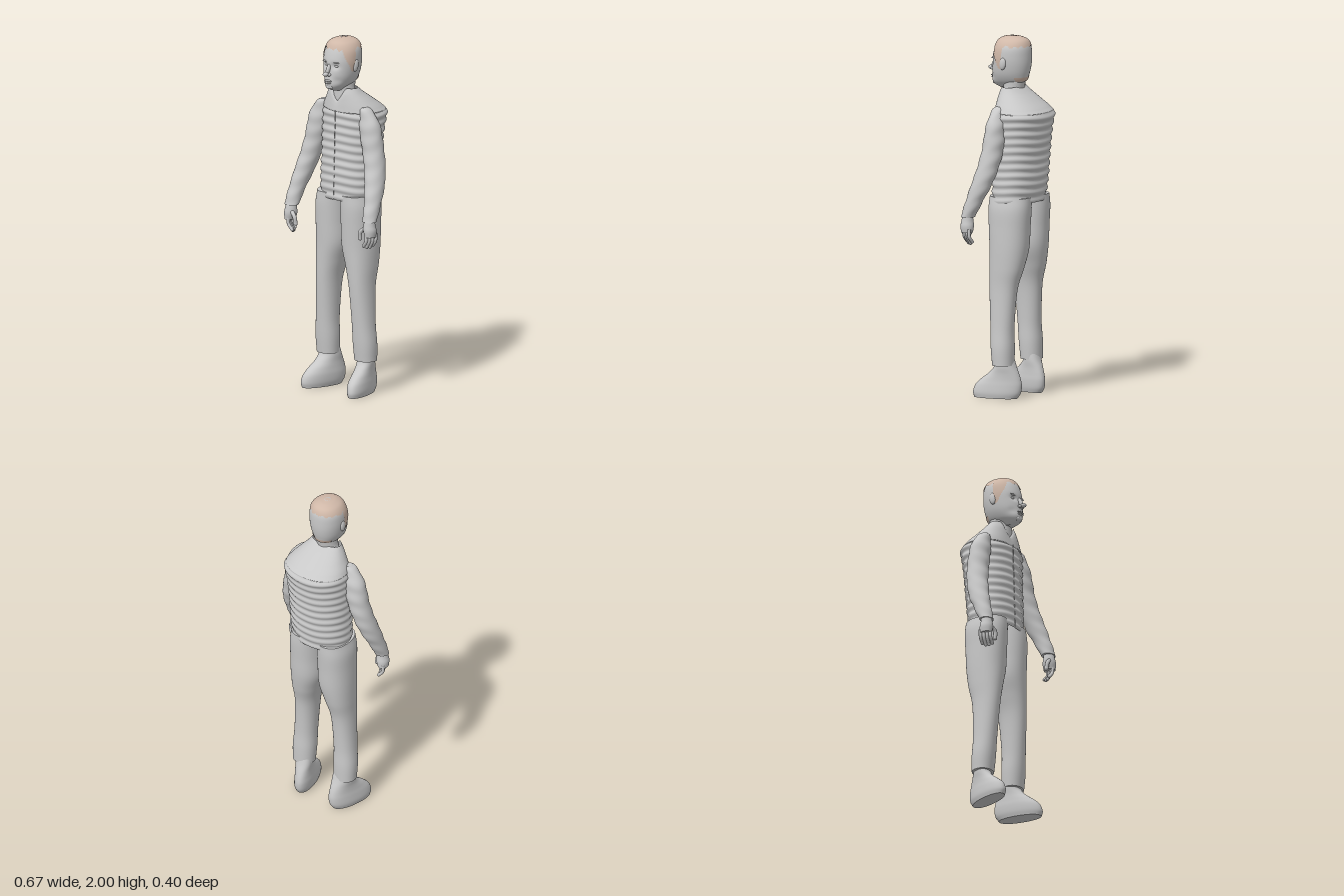
import * as THREE from 'three';

const grey = new THREE.MeshStandardMaterial({ name: 'plainGrey', color: 0xc8c8c8, side: THREE.DoubleSide });
const tan = new THREE.MeshStandardMaterial({ name: 'hairTan', color: 0xd0b8a8, side: THREE.DoubleSide });

// Smooth skin through level sections [y, xMin, xMax, zBack, zFront], listed from top to bottom
function loft(sections, { rows = 40, segs = 40, p = 2, cap = true, bend, keep } = {}) {
  const curve = (a, b) => new THREE.CatmullRomCurve3(
    sections.map(s => new THREE.Vector3(s[a], s[b], s[0])), false, 'catmullrom', 0.5);
  const cx = curve(1, 2), cz = curve(3, 4);
  const pos = [], index = [];
  const power = v => Math.sign(v) * Math.abs(v) ** (2 / p);
  for (let i = 0; i <= rows; i++) {
    const X = cx.getPoint(i / rows), Z = cz.getPoint(i / rows);
    for (let j = 0; j < segs; j++) {
      const a = j / segs * Math.PI * 2;
      const v = new THREE.Vector3(
        (X.x + X.y) / 2 + (X.y - X.x) / 2 * power(Math.cos(a)), X.z,
        (Z.x + Z.y) / 2 + (Z.y - Z.x) / 2 * power(Math.sin(a)));
      if (bend) bend(v, a);
      pos.push(v.x, v.y, v.z);
    }
  }
  const at = k => new THREE.Vector3().fromArray(pos, k * 3);
  for (let i = 0; i < rows; i++) for (let j = 0; j < segs; j++) {
    const k = (j + 1) % segs;
    const a = i * segs + j, b = i * segs + k, c = a + segs, d = b + segs;
    if (keep && !keep(at(a).add(at(d)).multiplyScalar(0.5))) continue;
    index.push(a, b, c, b, d, c);
  }
  // Flat end caps with their own vertices, so the rims stay sharp
  if (cap) for (const row of [0, rows]) {
    const start = pos.length / 3, mid = new THREE.Vector3();
    for (let j = 0; j < segs; j++) {
      const v = at(row * segs + j);
      mid.addScaledVector(v, 1 / segs);
      pos.push(v.x, v.y, v.z);
    }
    pos.push(mid.x, mid.y, mid.z);
    for (let j = 0; j < segs; j++) {
      const a = start + j, b = start + (j + 1) % segs;
      if (row) index.push(start + segs, a, b); else index.push(start + segs, b, a);
    }
  }
  const g = new THREE.BufferGeometry();
  g.setAttribute('position', new THREE.Float32BufferAttribute(pos, 3));
  g.setIndex(index);
  g.computeVertexNormals();
  return g;
}

// Sections for one side of the body: s = 1 left, s = -1 right
const side = (sections, s) => sections.map(([y, a, b, c, d]) => s > 0 ? [y, a, b, c, d] : [y, -b, -a, c, d]);

const HEAD = [
  [2.0, -0.012, 0.012, 0.015, 0.045], [1.993, -0.042, 0.042, -0.02, 0.085], [1.975, -0.074, 0.074, -0.05, 0.115],
  [1.94, -0.095, 0.095, -0.066, 0.134], [1.89, -0.1, 0.1, -0.07, 0.148], [1.84, -0.096, 0.096, -0.068, 0.153],
  [1.79, -0.085, 0.085, -0.058, 0.158], [1.75, -0.065, 0.065, -0.04, 0.162], [1.727, -0.042, 0.042, 0.01, 0.15],
  [1.71, -0.025, 0.025, 0.04, 0.115]];
const NECK = [
  [1.83, -0.058, 0.058, -0.045, 0.085], [1.76, -0.06, 0.06, -0.038, 0.09],
  [1.71, -0.062, 0.062, -0.03, 0.085], [1.67, -0.08, 0.08, -0.035, 0.085], [1.62, -0.1, 0.1, -0.06, 0.085]];
const VEST = [
  [1.722, -0.088, 0.092, -0.02, 0.078], [1.69, -0.108, 0.115, -0.06, 0.09], [1.65, -0.135, 0.15, -0.115, 0.096],
  [1.61, -0.163, 0.183, -0.168, 0.1], [1.575, -0.175, 0.2, -0.197, 0.103], [1.5, -0.173, 0.193, -0.183, 0.106],
  [1.4, -0.172, 0.187, -0.17, 0.11], [1.3, -0.172, 0.185, -0.16, 0.114], [1.2, -0.172, 0.184, -0.15, 0.118],
  [1.09, -0.17, 0.182, -0.133, 0.118]];
const SLEEVE = [
  [1.625, 0.14, 0.168, 0.005, 0.045], [1.605, 0.125, 0.2, -0.008, 0.06], [1.54, 0.12, 0.248, -0.025, 0.072],
  [1.47, 0.133, 0.266, -0.032, 0.08], [1.4, 0.152, 0.278, -0.032, 0.084], [1.3, 0.182, 0.3, -0.02, 0.1],
  [1.2, 0.213, 0.319, 0.01, 0.127], [1.1, 0.24, 0.329, 0.06, 0.155], [1.02, 0.25, 0.334, 0.1, 0.178]];
const PALM = [
  [1.04, 0.268, 0.322, 0.112, 0.166], [1.0, 0.262, 0.328, 0.108, 0.174],
  [0.97, 0.262, 0.334, 0.103, 0.178], [0.935, 0.275, 0.33, 0.105, 0.174]];
const TROUSER = [
  [1.12, -0.004, 0.176, -0.13, 0.115], [1.05, -0.004, 0.19, -0.13, 0.117], [0.95, -0.003, 0.192, -0.123, 0.113],
  [0.83, 0.0, 0.193, -0.115, 0.107], [0.72, 0.032, 0.191, -0.095, 0.102], [0.6, 0.06, 0.188, -0.064, 0.096],
  [0.4, 0.073, 0.197, -0.05, 0.082], [0.28, 0.073, 0.207, -0.053, 0.074], [0.185, 0.078, 0.205, -0.052, 0.064]];
const SHOE = [
  [0.23, 0.085, 0.185, -0.042, 0.05], [0.18, 0.083, 0.188, -0.058, 0.052], [0.14, 0.085, 0.185, -0.075, 0.085],
  [0.105, 0.083, 0.186, -0.087, 0.13], [0.07, 0.08, 0.19, -0.093, 0.164], [0.03, 0.082, 0.192, -0.088, 0.177],
  [0, 0.09, 0.186, -0.07, 0.17]];

export function createModel() {
  const model = new THREE.Group();
  model.name = 'standingMan';
  const add = (name, geometry, parent = model, material = grey) => {
    const m = new THREE.Mesh(geometry, material);
    m.name = name;
    parent.add(m);
    return m;
  };
  const blob = (name, parent, [x, y, z], [rx, ry, rz], tilt = 0) => {
    const m = add(name, new THREE.SphereGeometry(1, 20, 14), parent);
    m.position.set(x, y, z);
    m.scale.set(rx, ry, rz);
    m.rotation.x = tilt;
  };

  // Head and neck
  const head = new THREE.Group();
  head.name = 'head';
  model.add(head);
  // Shallow eye sockets and cheeks
  const face = v => {
    if (v.z < 0.09) return;
    const eye = Math.exp(-(((Math.abs(v.x) - 0.036) / 0.02) ** 2) - ((v.y - 1.856) / 0.016) ** 2);
    const cheek = Math.exp(-(((Math.abs(v.x) - 0.05) / 0.018) ** 2) - ((v.y - 1.775) / 0.02) ** 2);
    v.z -= 0.013 * eye + 0.006 * cheek;
  };
  add('skull', loft(HEAD, { rows: 60, segs: 64, p: 2.1, bend: face }), head);
  add('neck', loft(NECK), head);

  // Hair: crown, temples and a patch at the nape
  const hairShell = HEAD.map(([y, a, b, c, d]) => [y + (y > 1.97 ? 0.002 : 0), a - 0.004, b + 0.004, c - 0.003, d + 0.004]);
  add('hair', loft(hairShell, {
    rows: 90, segs: 96, p: 2.1, cap: false,
    keep: v => v.y > 1.948 + 0.008 * Math.sin(v.x * 150) * Math.sin(v.z * 90)
      || (Math.abs(v.x) > 0.06 && v.z > 0.045 && v.z < 0.112 && v.y > 1.825 + Math.max(0, v.z - 0.07) * 2)
      || (v.z < -0.015 && v.y > 1.752 && v.y < 1.775),
  }), head, tan);
  add('crownHair', new THREE.CircleGeometry(0.014, 20).rotateX(-Math.PI / 2).translate(0, 2.001, 0.03), head, tan);

  // Facial features
  blob('noseBridge', head, [0, 1.838, 0.157], [0.011, 0.034, 0.014], -0.45);
  blob('noseTip', head, [0, 1.813, 0.178], [0.015, 0.012, 0.018]);
  blob('upperLip', head, [0, 1.773, 0.16], [0.026, 0.006, 0.011]);
  blob('lowerLip', head, [0, 1.762, 0.16], [0.022, 0.006, 0.011]);
  blob('chin', head, [0, 1.738, 0.146], [0.026, 0.015, 0.016]);
  for (const s of [1, -1]) {
    blob('nostril', head, [s * 0.012, 1.809, 0.162], [0.009, 0.009, 0.012]);
    blob('eye', head, [s * 0.036, 1.856, 0.129], [0.015, 0.008, 0.009]);
    blob('browRidge', head, [s * 0.036, 1.876, 0.136], [0.024, 0.006, 0.009]);
    blob('ear', head, [s * 0.097, 1.855, 0.04], [0.012, 0.035, 0.02], -0.15);
  }

  // Quilted vest with an open collar notch
  add('vest', loft(VEST, {
    rows: 130, segs: 72, p: 2.2, cap: false,
    bend: (v, a) => {
      if (v.y < 1.59) {
        const r = 0.004 * Math.sin((v.y - 1.09) * 135 + 0.7 * Math.sin(a * 3));
        v.x += r * Math.cos(a);
        v.z += r * Math.sin(a);
      }
      if (v.z > 0 && v.y > 1.6) v.y -= 0.07 * Math.max(0, 1 - Math.abs(v.x) / 0.055) * (v.y - 1.6) / 0.12;
    },
  }));
  add('vestZip', new THREE.BoxGeometry(0.004, 0.5, 0.004).rotateX(-0.03).translate(0.004, 1.345, 0.113));

  // Limbs on both sides
  for (const s of [1, -1]) {
    const name = s > 0 ? 'left' : 'right';
    const arm = new THREE.Group();
    arm.name = name + 'Arm';
    model.add(arm);
    add('sleeve', loft(side(SLEEVE, s), {
      rows: 60, bend: (v, a) => { v.z += 0.002 * Math.sin(v.y * 70 + 2 * Math.sin(a)); },
    }), arm);
    add('palm', loft(side(PALM, s), { rows: 16, segs: 24 }), arm);

    const finger = (label, pts, r) => {
      const v = pts.map(([x, y, z]) => new THREE.Vector3(x * s, y, z));
      add(label, new THREE.TubeGeometry(new THREE.CatmullRomCurve3(v), 10, r, 10), arm);
      blob(label + 'Tip', arm, v[v.length - 1].toArray(), [r, r, r]);
    };
    for (let i = 0; i < 4; i++) {
      const z = 0.115 + 0.0165 * i, x = 0.318 - 0.008 * i, drop = [0.01, 0, 0, 0.008][i];
      finger('finger', [[x, 0.955, z], [x - 0.002, 0.912, z], [x - 0.025, 0.873 + drop, z - 0.004]], 0.0095);
    }
    finger('thumb', [[0.278, 0.985, 0.155], [0.248, 0.958, 0.164], [0.243, 0.92, 0.16]], 0.0115);

    const leg = new THREE.Group();
    leg.name = name + 'Leg';
    model.add(leg);
    add('trouserLeg', loft(side(TROUSER, s), { rows: 60, segs: 48, p: 2.2 }), leg);
    // Toes turn outwards
    add('shoe', loft(side(SHOE, s), {
      rows: 36, segs: 48, p: 2.2, bend: v => { v.x += s * 0.22 * v.z; },
    }), leg);
  }
  return model;
}
